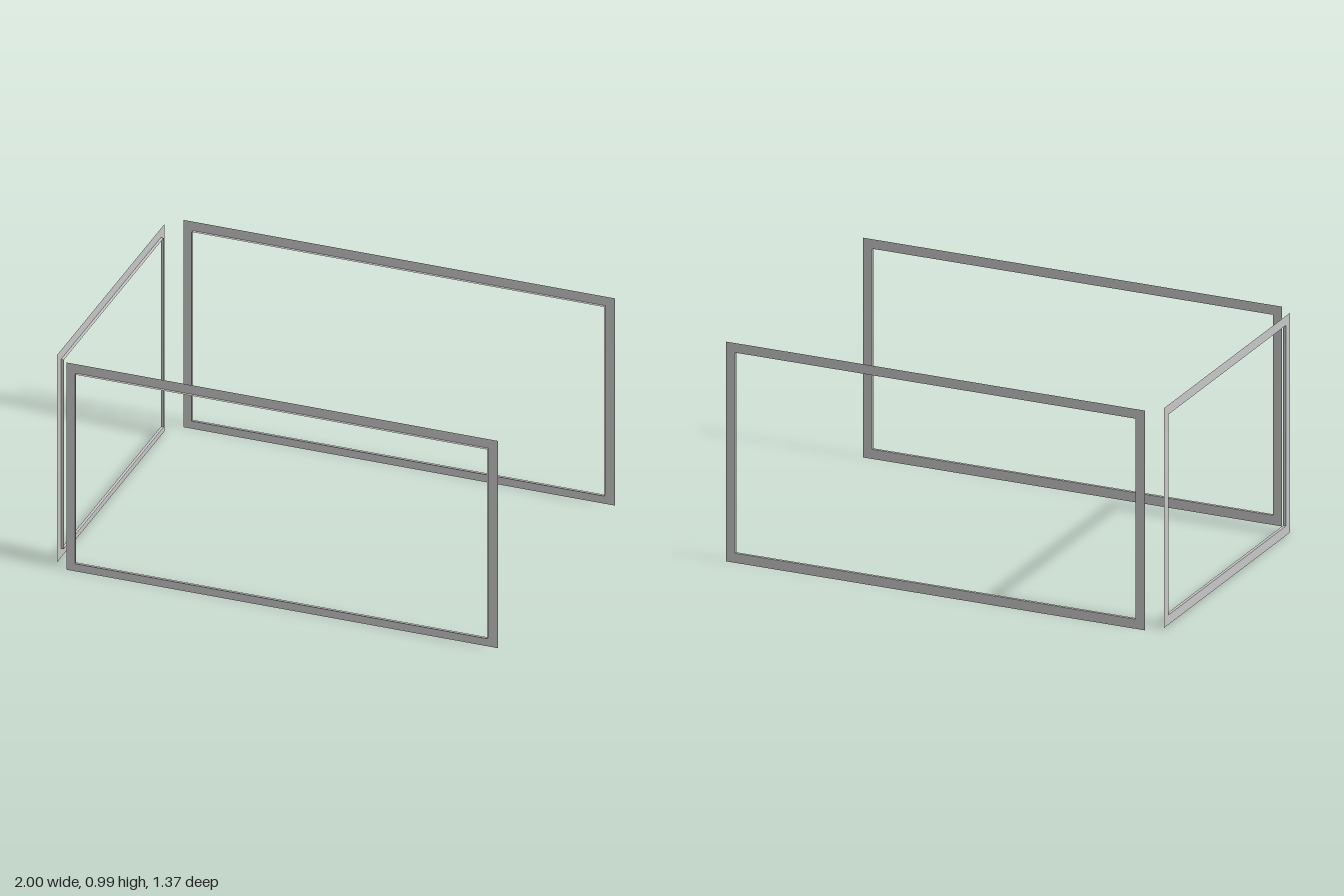
import * as THREE from 'three';

const HEIGHT = 0.985, BAR = 0.043, DEPTH = 0.013;

const metal = new THREE.MeshStandardMaterial({ color: 0xc6c6c6, side: THREE.DoubleSide });
metal.name = 'light grey metal';

// Upright rectangular frame: one flat face with a thin lip standing forward around its opening
function makeFrame(name, width) {
  const frame = new THREE.Group();
  frame.name = name;
  const w = width / 2, iw = w - BAR, innerH = HEIGHT - 2 * BAR;

  const outline = new THREE.Shape([
    new THREE.Vector2(-w, 0), new THREE.Vector2(w, 0),
    new THREE.Vector2(w, HEIGHT), new THREE.Vector2(-w, HEIGHT),
  ]);
  outline.holes.push(new THREE.Path([
    new THREE.Vector2(-iw, BAR), new THREE.Vector2(-iw, HEIGHT - BAR),
    new THREE.Vector2(iw, HEIGHT - BAR), new THREE.Vector2(iw, BAR),
  ]));

  const add = (part, geometry) => {
    const mesh = new THREE.Mesh(geometry, metal);
    mesh.name = part;
    frame.add(mesh);
    return mesh;
  };

  // Flat face
  add('face', new THREE.ShapeGeometry(outline));

  // Lip, facing the opening
  for (const s of [-1, 1]) {
    const side = add('lipSide', new THREE.PlaneGeometry(DEPTH, innerH));
    side.position.set(s * iw, HEIGHT / 2, DEPTH / 2);
    side.rotation.y = -s * Math.PI / 2;
    const rail = add('lipRail', new THREE.PlaneGeometry(iw * 2, DEPTH));
    rail.position.set(0, HEIGHT / 2 + s * innerH / 2, DEPTH / 2);
    rail.rotation.x = s * Math.PI / 2;
  }
  return frame;
}

export function createModel() {
  const model = new THREE.Group();
  model.name = 'windowFrames';

  // Long frames at front and back, both with the lip towards the front
  for (const [name, z] of [['frontFrame', 0.674], ['backFrame', -0.687]]) {
    const frame = makeFrame(name, 1.94);
    frame.position.set(0.03, 0, z);
    model.add(frame);
  }

  // Short frame closing the right end, lip inwards
  const end = makeFrame('endFrame', 1.25);
  end.position.x = -1;
  end.rotation.y = Math.PI / 2;
  model.add(end);

  return model;
}
